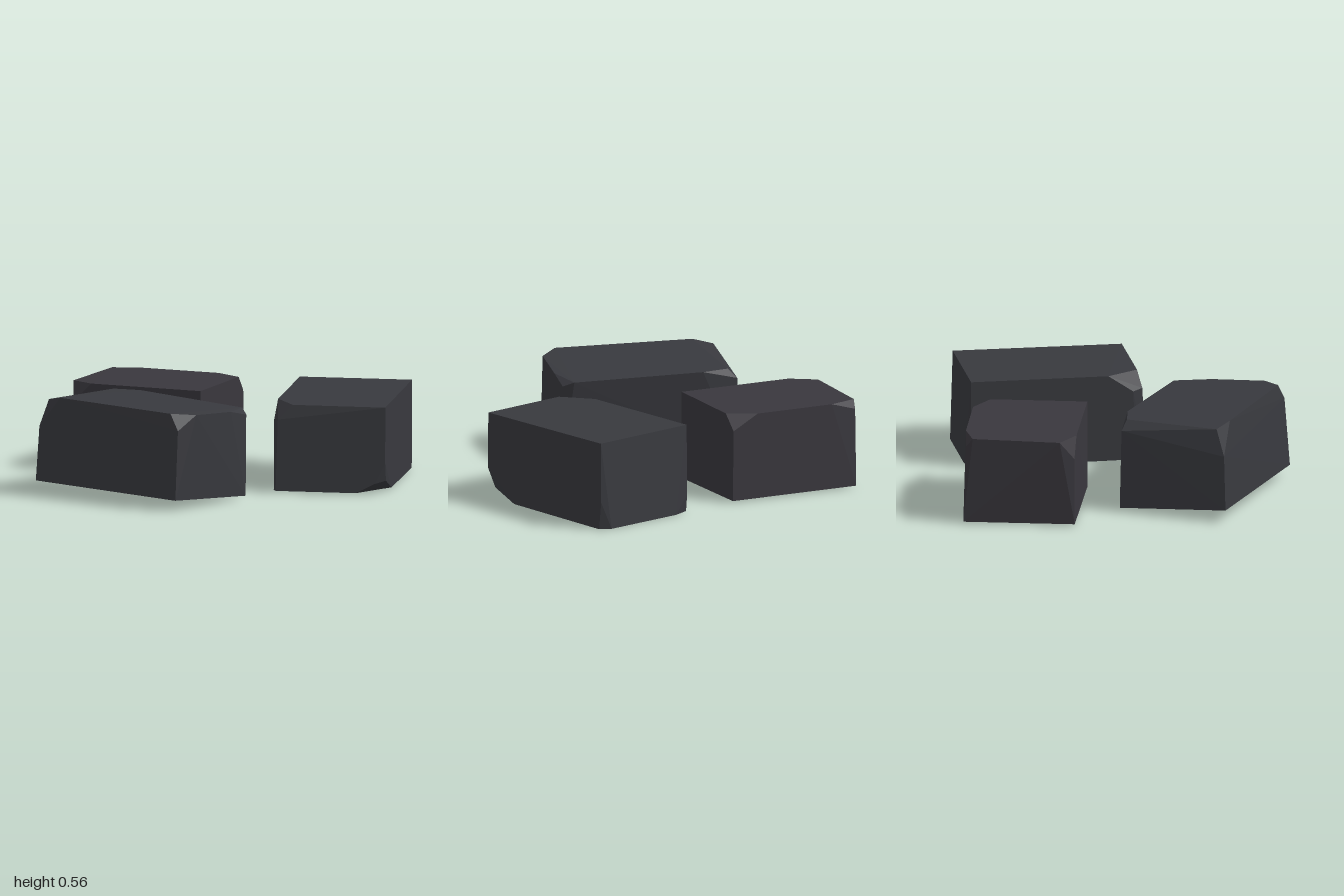
import * as THREE from 'three';
import { ConvexGeometry } from 'three/addons/geometries/ConvexGeometry.js';

const coolStone = new THREE.MeshStandardMaterial({ color: 0x38393e });
coolStone.name = 'coolCharcoal';
const warmStone = new THREE.MeshStandardMaterial({ color: 0x39373d });
warmStone.name = 'warmCharcoal';

// A chipped block: the flat-faced hull of its corners
function block(name, material, corners) {
  const points = corners.map((c) => new THREE.Vector3(...c));
  const mesh = new THREE.Mesh(new ConvexGeometry(points), material);
  mesh.name = name;
  return mesh;
}

export function createModel() {
  const group = new THREE.Group();
  group.name = 'stoneBlocks';

  group.add(block('sideBlock', coolStone, [
    // top outline
    [0.34, 0.51, -0.775], [0.99, 0.508, -0.775], [0.99, 0.502, 0.205],
    [0.455, 0.505, 0.205], [0.34, 0.508, 0.02],
    // chipped upright corner
    [0.37, 0.42, 0.222], [0.34, 0.41, 0.165], [0.36, 0.01, 0.24], [0.34, 0.005, 0.18],
    // chipped lower front corner
    [0.99, 0.18, 0.21], [0.93, 0.06, 0.215], [0.985, 0.07, 0.15],
    [0.82, 0.005, 0.222], [0.99, 0.005, -0.02],
    // lower back edge
    [0.99, 0.16, -0.778], [0.93, 0, -0.8], [0.99, 0, -0.76],
    [0.44, 0, -0.8], [0.34, 0.1, -0.78], [0.34, 0, -0.77],
  ]));

  group.add(block('backBlock', warmStone, [
    // base
    [-0.75, 0.01, -1.0], [0.015, 0.01, -0.805], [-0.14, 0, -0.18], [-0.905, 0.01, -0.38],
    // top outline
    [-0.6, 0.508, -0.96], [-0.14, 0.508, -0.843], [-0.005, 0.508, -0.72],
    [-0.14, 0.508, -0.18], [-0.8, 0.508, -0.352], [-0.922, 0.505, -0.47], [-0.775, 0.508, -0.95],
    // chipped corners
    [-0.755, 0.46, -0.985], [0.008, 0.42, -0.803], [-0.908, 0.4, -0.382],
  ]));

  group.add(block('frontBlock', coolStone, [
    // base
    [-0.99, 0.075, 0.48], [-0.1, 0.062, 1.0], [0.22, 0.012, 0.45], [-0.67, 0.025, -0.08],
    // top outline
    [-0.62, 0.535, -0.03], [-0.46, 0.535, 0.0], [0.19, 0.51, 0.375], [0.155, 0.518, 0.59],
    [0.0, 0.54, 0.87], [-0.14, 0.553, 0.925], [-0.84, 0.565, 0.53], [-0.92, 0.542, 0.44],
    // chipped corners
    [-0.97, 0.39, 0.475], [-0.09, 0.46, 0.97], [0.222, 0.48, 0.44], [-0.66, 0.48, -0.068],
  ]));

  return group;
}
